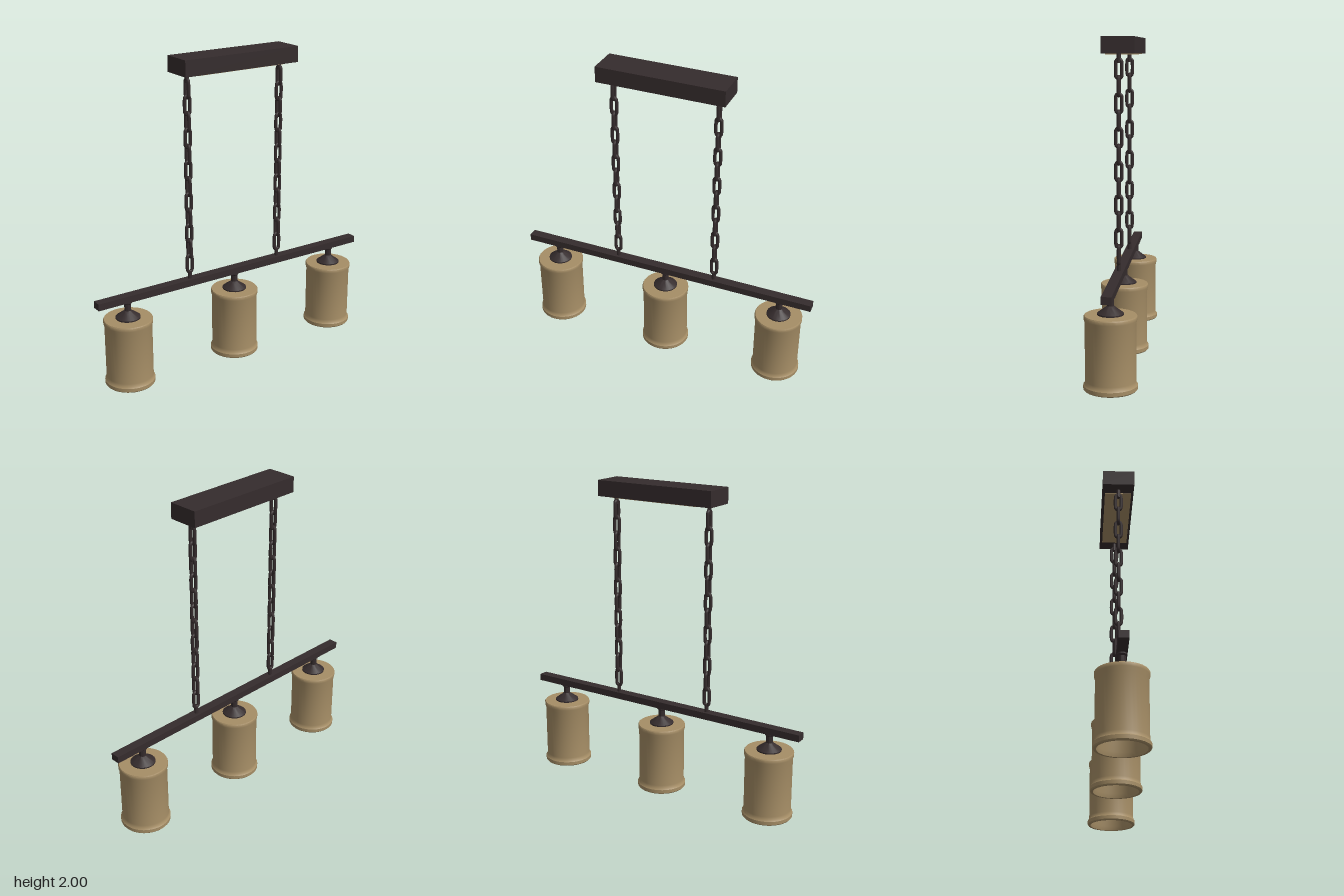
import * as THREE from 'three';
import { toCreasedNormals } from 'three/addons/utils/BufferGeometryUtils.js';

const bronze = new THREE.MeshStandardMaterial({ color: 0x352c2d });
bronze.name = 'dark bronze';
const brass = new THREE.MeshStandardMaterial({ color: 0xa68e66 });
brass.name = 'aged brass';

function add(parent, name, geometry, material, x = 0, y = 0, z = 0) {
  const mesh = new THREE.Mesh(geometry, material);
  mesh.name = name;
  mesh.position.set(x, y, z);
  parent.add(mesh);
  return mesh;
}

// Turned part from [radius, height] pairs, listed from the bottom up on the outside
function turned(profile, sides) {
  const points = profile.map(([r, y]) => new THREE.Vector2(r, y));
  return toCreasedNormals(new THREE.LatheGeometry(points, sides), 0.6);
}

// Oval chain link standing upright in the xy plane
function linkGeometry(height, width, wire) {
  const r = width / 2 - wire;
  const straight = height / 2 - wire - r;
  const points = [];
  for (let i = 0; i < 16; i++) {
    const a = ((i + 0.5) / 16) * Math.PI * 2;
    points.push(new THREE.Vector3(r * Math.cos(a), r * Math.sin(a) + Math.sign(Math.sin(a)) * straight, 0));
  }
  return new THREE.TubeGeometry(new THREE.CatmullRomCurve3(points, true), 36, wire, 8, true);
}

export function createModel() {
  const model = new THREE.Group();
  model.name = 'pendantLight';

  // Ceiling canopy with a brass plate underneath
  add(model, 'canopy', new THREE.BoxGeometry(0.82, 0.1, 0.2), bronze, 0, 1.95, 0);
  add(model, 'canopyUnderside', new THREE.BoxGeometry(0.62, 0.006, 0.17), brass, 0, 1.898, 0);

  // Cross bar
  add(model, 'bar', new THREE.BoxGeometry(2, 0.044, 0.06), bronze, 0, 0.568, 0);

  // Two chains with links turned alternately
  const link = linkGeometry(0.135, 0.056, 0.011);
  const stub = new THREE.CylinderGeometry(0.013, 0.013, 0.06, 10);
  const count = 12;
  for (const side of [-1, 1]) {
    const chain = new THREE.Group();
    chain.name = side < 0 ? 'rightChain' : 'leftChain';
    chain.position.x = side * 0.34;
    for (let i = 0; i < count; i++) {
      const y = 0.69 + (i / (count - 1)) * 1.12;
      add(chain, 'chainLink', link, bronze, 0, y, 0).rotation.y = (i % 2) * Math.PI / 2;
    }
    add(chain, 'lowerStub', stub, bronze, 0, 0.61, 0);
    add(chain, 'upperStub', stub, bronze, 0, 1.875, 0);
    model.add(chain);
  }

  // Three lamps: stem with flared cap, and a shade open at the bottom
  const shade = turned([
    [0, 0.415], [0.132, 0.415], [0.132, 0.03], [0.138, 0.004], [0.152, 0.004], [0.157, 0.01],
    [0.157, 0.032], [0.149, 0.042], [0.147, 0.06], [0.147, 0.395], [0.153, 0.415],
    [0.153, 0.434], [0.149, 0.44], [0, 0.44],
  ], 40);
  const fitting = turned([
    [0, 0.438], [0.077, 0.438], [0.077, 0.446], [0.036, 0.476], [0.021, 0.488], [0.021, 0.53],
    [0.029, 0.538], [0.029, 0.55], [0, 0.55],
  ], 24);
  for (const x of [-0.79, 0, 0.79]) {
    const lamp = new THREE.Group();
    lamp.name = 'lamp';
    lamp.position.x = x;
    add(lamp, 'shade', shade, brass, 0, -0.004, 0);
    add(lamp, 'fitting', fitting, bronze);
    model.add(lamp);
  }

  return model;
}
